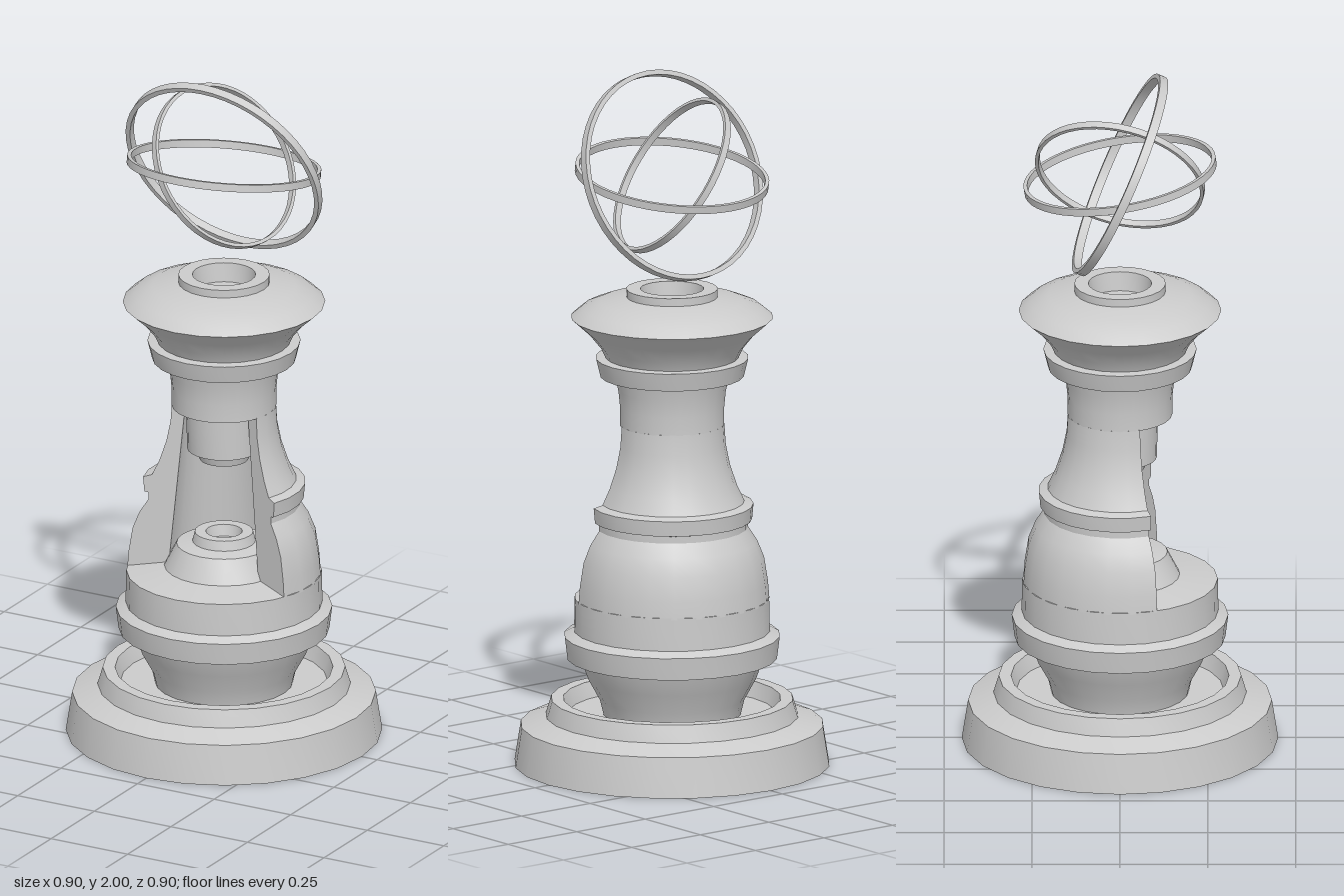
import * as THREE from 'three';
import { toCreasedNormals } from 'three/addons/utils/BufferGeometryUtils.js';

const material = new THREE.MeshStandardMaterial({ color: 0xcccccc });
const doubleSided = new THREE.MeshStandardMaterial({ color: 0xcccccc, side: THREE.DoubleSide });
const toPoints = (profile) => profile.map(([r, y]) => new THREE.Vector2(r, y));

// Turned part with crisp edges; the profile is [radius, height] from bottom to top
function turned(name, profile, segments = 24, start = 0, sweep = Math.PI * 2) {
  const lathe = new THREE.LatheGeometry(toPoints(profile), segments, start, sweep);
  const mesh = new THREE.Mesh(toCreasedNormals(lathe, 0.5), material);
  mesh.name = name;
  return mesh;
}

// Flat band hoop, centred on the origin and facing along the given axis
function hoop(name, radius, thickness, width, axis) {
  const inner = radius - thickness, h = width / 2;
  const mesh = turned(name, [[inner, -h], [radius, -h], [radius, h], [inner, h], [inner, -h]], 48);
  mesh.quaternion.setFromUnitVectors(new THREE.Vector3(0, 1, 0), new THREE.Vector3(...axis).normalize());
  return mesh;
}

export function createModel() {
  const model = new THREE.Group();

  // Stepped foot with a groove inside its rim
  model.add(turned('base', [
    [0, 0], [0.45, 0], [0.432, 0.115], [0.36, 0.14], [0.345, 0.19],
    [0.31, 0.19], [0.295, 0.145], [0, 0.145],
  ]));

  // Lower body, collar and chamber floor with a small hollow pedestal
  model.add(turned('lowerBody', [
    [0.195, 0.14], [0.207, 0.19], [0.24, 0.25], [0.26, 0.305], [0.3, 0.31], [0.308, 0.375],
    [0.28, 0.39], [0.278, 0.485], [0.17, 0.5], [0.135, 0.568], [0.09, 0.575],
    [0.083, 0.603], [0.052, 0.603], [0.045, 0.57], [0, 0.57],
  ]));

  // Thick shell around the chamber, open at the front
  const start = THREE.MathUtils.degToRad(67.5);
  const sweep = THREE.MathUtils.degToRad(225);
  const shellProfile = [
    [0.16, 0.48], [0.277, 0.48], [0.273, 0.53], [0.262, 0.6], [0.242, 0.65], [0.216, 0.69],
    [0.216, 0.71], [0.228, 0.713], [0.232, 0.757], [0.206, 0.765], [0.185, 0.81],
    [0.165, 0.87], [0.153, 0.93], [0.149, 0.99], [0.11, 0.99], [0.16, 0.48],
  ];
  const shell = new THREE.Group();
  shell.name = 'chamberShell';
  shell.add(turned('shellWall', shellProfile, 15, start, sweep));
  for (const [name, phi] of [['leftCutFace', start], ['rightCutFace', start + sweep]]) {
    const face = new THREE.Mesh(
      new THREE.ShapeGeometry(new THREE.Shape(toPoints(shellProfile.slice(0, -1)))), doubleSided);
    face.name = name;
    face.rotation.y = phi - Math.PI / 2;
    shell.add(face);
  }
  model.add(shell);

  // Plug hanging into the chamber
  model.add(turned('hangingPlug', [
    [0, 0.825], [0.07, 0.825], [0.078, 0.853], [0.105, 0.857], [0.108, 1],
  ]));

  // Neck, collar, flared head and hollow lip
  model.add(turned('head', [
    [0, 0.988], [0.149, 0.988], [0.149, 1.04], [0.154, 1.09], [0.163, 1.13], [0.205, 1.132],
    [0.218, 1.185], [0.19, 1.187], [0.203, 1.215], [0.235, 1.255], [0.288, 1.303],
    [0.255, 1.33], [0.205, 1.35], [0.13, 1.362], [0.13, 1.385], [0.09, 1.385],
    [0.083, 1.33], [0, 1.33],
  ]));

  // Three interlocked hoops floating above the head
  const hoops = new THREE.Group();
  hoops.name = 'hoops';
  hoops.position.y = 1.715;
  hoops.add(
    hoop('outerHoop', 0.307, 0.014, 0.025, [0, -0.41, 0.914]),
    hoop('middleHoop', 0.277, 0.011, 0.022, [0, 0.987, -0.16]),
    hoop('innerHoop', 0.246, 0.01, 0.02, [0.795, 0.558, 0.22]),
  );
  model.add(hoops);

  return model;
}
